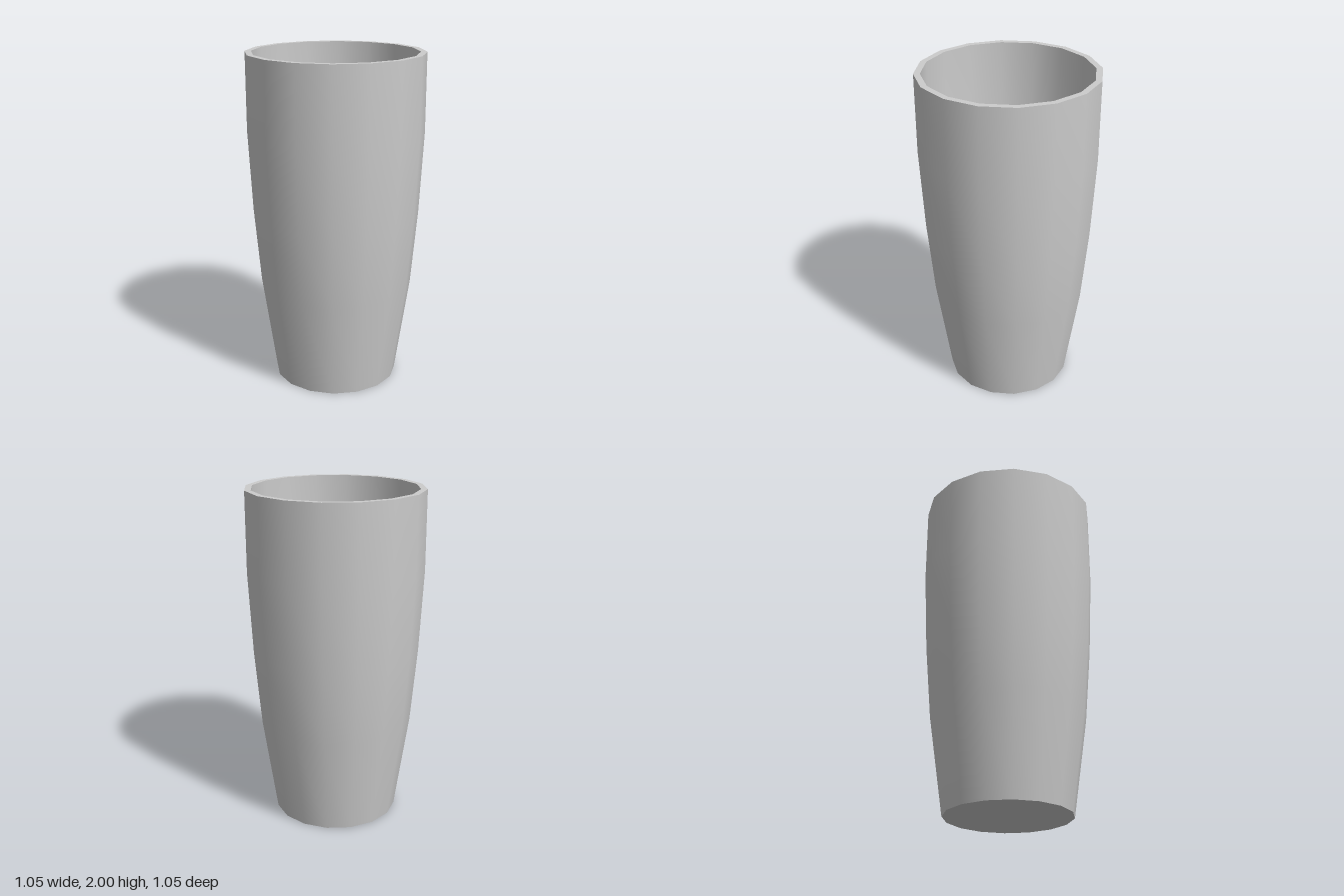
import * as THREE from 'three';

const SIDES = 16;

export function createModel() {
  const group = new THREE.Group();
  group.name = 'tumbler';
  const material = new THREE.MeshStandardMaterial({ color: 0xcccccc });

  // Each section is turned on its own, so the edges between sections stay sharp
  const turn = (name, profile) => {
    const points = profile.map(([r, y]) => new THREE.Vector2(r, y));
    const mesh = new THREE.Mesh(new THREE.LatheGeometry(points, SIDES), material);
    mesh.name = name;
    group.add(mesh);
  };

  // Profiles run from the base centre, up the outside, over the rim and down inside
  const outer = [[0.375, 0], [0.461, 0.59], [0.5, 1.04], [0.525, 1.53], [0.525, 2]];
  const inner = [[0.488, 2], [0.488, 1.53], [0.463, 1.04], [0.424, 0.59], [0.33, 0.05]];

  turn('base', [[0, 0], outer[0]]);
  turn('outerWall', outer);
  turn('rim', [outer[4], inner[0]]);
  turn('innerWall', inner);
  turn('innerFloor', [inner[4], [0, 0.05]]);

  return group;
}
